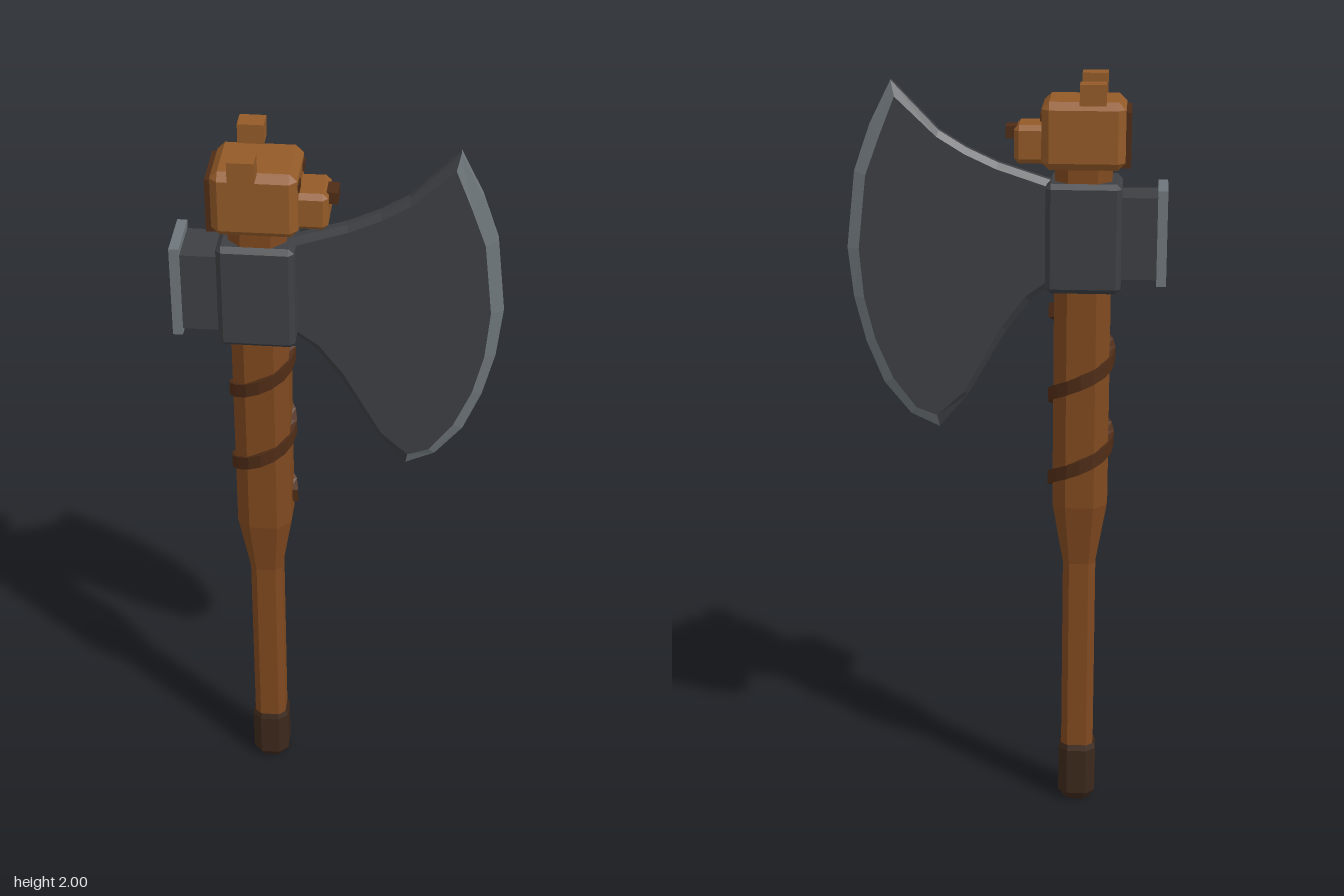
import * as THREE from 'three';
import { ConvexGeometry } from 'three/addons/geometries/ConvexGeometry.js';

const mat = (color) => new THREE.MeshStandardMaterial({ color, flatShading: true });
const AXIS = -0.197; // x of the handle's axis

// Skin over a row of cross-sections (arrays of Vector3)
function loft(rings, closed = true) {
  const n = rings[0].length, pos = rings.flat().flatMap((p) => [p.x, p.y, p.z]), idx = [];
  for (let i = 0; i < rings.length - 1; i++) {
    for (let j = 0; j < (closed ? n : n - 1); j++) {
      const k = (j + 1) % n, a = i * n + j, b = i * n + k;
      idx.push(a, b, b + n, a, b + n, a + n);
    }
  }
  if (closed) {
    const top = (rings.length - 1) * n;
    for (let j = 1; j < n - 1; j++) idx.push(0, j + 1, j, top, top + j, top + j + 1);
  }
  const g = new THREE.BufferGeometry();
  g.setAttribute('position', new THREE.Float32BufferAttribute(pos, 3));
  g.setIndex(idx);
  const flat = g.toNonIndexed();
  flat.computeVertexNormals();
  return flat;
}

// Square ring with cut corners, at height y
function ring(h, y, cut = 0.52) {
  const c = h * cut;
  return [[-c, h], [c, h], [h, c], [h, -c], [c, -h], [-c, -h], [-h, -c], [-h, c]]
    .map(([x, z]) => new THREE.Vector3(AXIS + x, y, z));
}

// Box between two corners, edges chamfered by c
function box(x0, x1, y0, y1, z0, z1, c = 0) {
  const s = [x1 - x0, y1 - y0, z1 - z0];
  let g;
  if (!c) g = new THREE.BoxGeometry(...s);
  else {
    const pts = [];
    for (const sx of [-1, 1]) for (const sy of [-1, 1]) for (const sz of [-1, 1]) {
      for (let k = 0; k < 3; k++) {
        const p = [sx, sy, sz].map((q, i) => q * (s[i] / 2 - (i === k ? 0 : c)));
        pts.push(new THREE.Vector3(...p));
      }
    }
    g = new ConvexGeometry(pts);
  }
  return g.translate((x0 + x1) / 2, (y0 + y1) / 2, (z0 + z1) / 2);
}

export function createModel() {
  const group = new THREE.Group();
  const wood = mat(0x80491f), carved = mat(0x935a28), dark = mat(0x4f2c16);
  const grip = mat(0x3c281b), iron = mat(0x3d3f43), steel = mat(0x6f777c);
  const add = (name, geometry, material) => {
    const m = new THREE.Mesh(geometry, material);
    m.name = name;
    group.add(m);
  };

  // Handle and pommel
  add('handle', loft([ring(0.043, 0.1, 0.6), ring(0.043, 0.71, 0.6), ring(0.072, 0.88), ring(0.072, 1.79)]), wood);
  add('pommel', loft([ring(0.035, 0), ring(0.05, 0.025), ring(0.05, 0.155), ring(0.045, 0.17)]), grip);

  // Strap winding twice round the handle
  const strap = [];
  for (let i = 0; i <= 32; i++) {
    const t = i / 32, a = Math.PI * (0.5 - 2 + 4 * t), y = 0.94 + 0.46 * t;
    strap.push([[-1, 0.064], [1, 0.064], [1, 0.087], [-1, 0.087]].map(([s, r]) =>
      new THREE.Vector3(AXIS + r * Math.sin(a), y + s * 0.019, r * Math.cos(a))));
  }
  add('strap', loft(strap), dark);

  // Iron collar with hammer on its back
  add('collar', box(-0.295, -0.103, 1.463, 1.745, -0.085, 0.085, 0.013), iron);
  add('hammerNeck', box(-0.39, -0.28, 1.5, 1.71, -0.066, 0.066), iron);
  add('hammerFace', box(-0.41, -0.385, 1.485, 1.73, -0.073, 0.073), steel);

  // Blade outline in stations: outer x, outer y, inner x, inner y
  const lower = [[-0.12, 1.47, -0.12, 1.49], [-0.06, 1.425, -0.05, 1.44], [0, 1.345, 0.012, 1.358],
    [0.1, 1.17, 0.11, 1.18], [0.175, 1.08, 0.18, 1.115]];
  const cutting = [lower[4], [0.25, 1.115, 0.235, 1.135], [0.32, 1.2, 0.295, 1.215], [0.365, 1.31, 0.34, 1.32],
    [0.395, 1.43, 0.367, 1.43], [0.409, 1.56, 0.378, 1.56], [0.387, 1.76, 0.357, 1.75],
    [0.345, 1.88, 0.32, 1.85], [0.29, 1.99, 0.28, 1.95]];
  const upper = [cutting[8], [0.17, 1.865, 0.175, 1.85], [0.1, 1.822, 0.105, 1.807],
    [0.02, 1.785, 0.025, 1.77], [-0.12, 1.74, -0.12, 1.722]];
  const rim = (stations) => loft(stations.map(([ox, oy, ix, iy]) => [
    new THREE.Vector3(ix, iy, 0.024), new THREE.Vector3(ox, oy, 0.01),
    new THREE.Vector3(ox, oy, -0.01), new THREE.Vector3(ix, iy, -0.024)]), false);
  add('bladeLowerRim', rim(lower), iron);
  add('cuttingEdge', rim(cutting), steel);
  add('bladeUpperRim', rim(upper), iron);
  const outline = [...lower, ...cutting.slice(1), ...upper.slice(1)].map((s) => new THREE.Vector2(s[2], s[3]));
  for (const side of [1, -1]) {
    const g = new THREE.ShapeGeometry(new THREE.Shape(outline)).translate(0, 0, side * 0.024);
    if (side < 0) g.index.array.reverse();
    g.computeVertexNormals();
    add(side > 0 ? 'bladeFront' : 'bladeBack', g, iron);
  }

  // Carved animal head on top
  add('head', box(-0.302, -0.092, 1.78, 1.95, -0.093, 0.093, 0.019), carved);
  add('snout', box(-0.11, -0.022, 1.79, 1.887, -0.06, 0.06, 0.013), carved);
  add('nose', box(-0.04, 0, 1.849, 1.88, -0.027, 0.027), dark);
  add('mane', box(-0.315, -0.29, 1.786, 1.925, -0.074, 0.074), dark);
  for (const s of [1, -1]) {
    const span = (a, b) => (s > 0 ? [a, b] : [-b, -a]);
    add(s > 0 ? 'earFront' : 'earBack', box(-0.253, -0.188, 1.948, 2, ...span(0.07, 0.124)), carved);
    add(s > 0 ? 'eyeFront' : 'eyeBack', box(-0.11, -0.088, 1.9, 1.92, ...span(0.034, 0.07)), dark);
  }
  return group;
}
